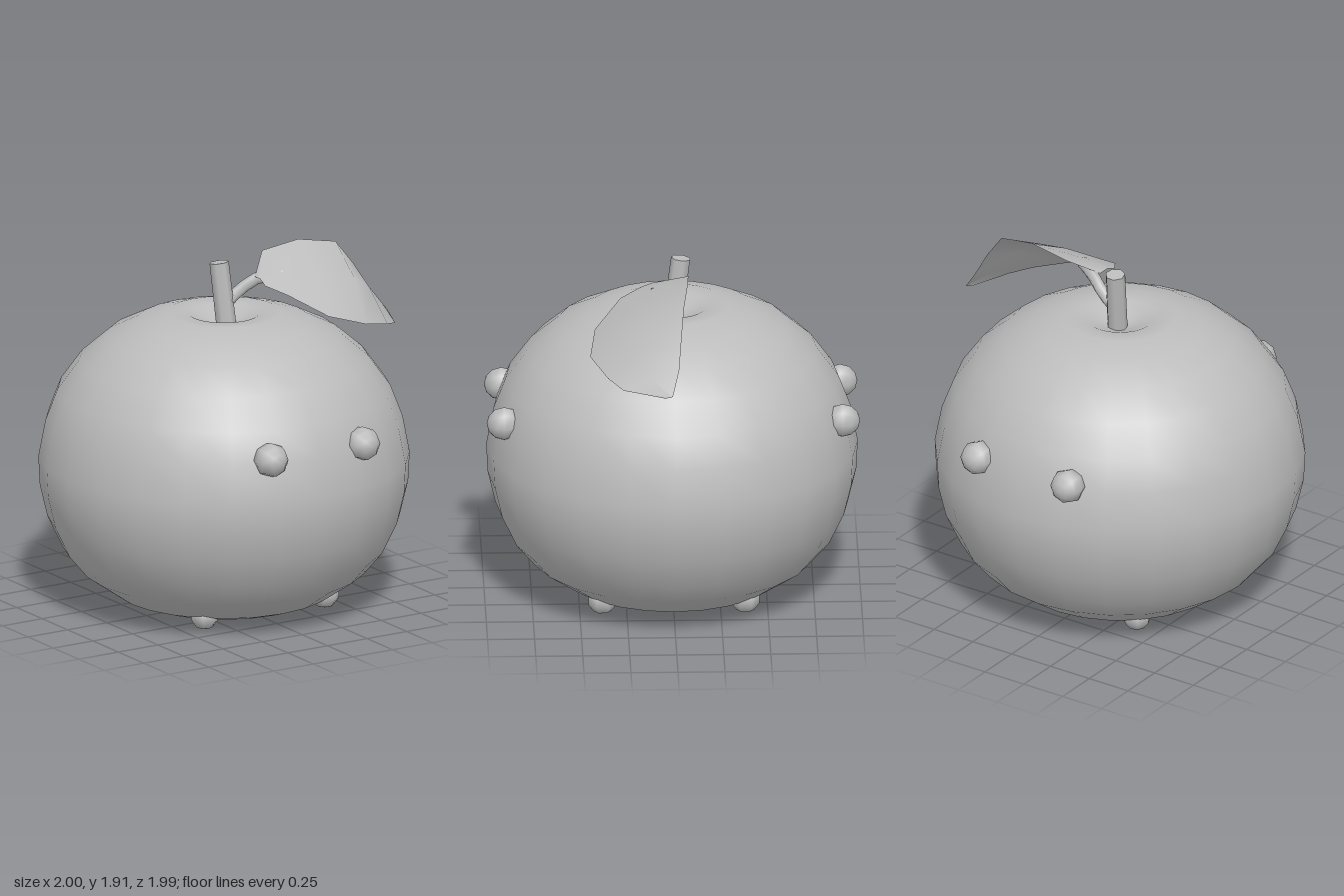
import * as THREE from 'three';

export function createModel() {
  const model = new THREE.Group();
  const clay = new THREE.MeshStandardMaterial({ color: 0xbcbcbc, side: THREE.DoubleSide });
  clay.name = 'plain grey';

  function add(name, geometry, x = 0, y = 0, z = 0) {
    const mesh = new THREE.Mesh(geometry, clay);
    mesh.name = name;
    mesh.position.set(x, y, z);
    model.add(mesh);
    return mesh;
  }

  // Squat round fruit with a flat base and a dimple at the stem
  const profile = [
    [0, 0.03], [0.3, 0.025], [0.48, 0.04], [0.58, 0.075], [0.76, 0.2], [0.86, 0.32],
    [0.94, 0.49], [0.98, 0.66], [0.988, 0.82], [0.95, 1.02], [0.885, 1.19], [0.77, 1.35],
    [0.62, 1.48], [0.46, 1.56], [0.3, 1.605], [0.19, 1.6], [0.1, 1.555], [0, 1.52],
  ].map(([r, y]) => new THREE.Vector2(r, y));
  add('fruitBody', new THREE.LatheGeometry(profile, 24), -0.012, 0, 0);

  // Round eyes on the front and on the back, sunk into the skin
  for (const side of [1, -1]) {
    for (const face of [1, -1]) {
      const eye = add(face > 0 ? 'frontEye' : 'backEye', new THREE.SphereGeometry(0.093, 8, 6),
        side * 0.29 - 0.003, 1.05, face * 0.9);
      eye.rotation.x = face * Math.PI / 2;
    }
  }

  // Four small stub feet under the body
  for (const x of [0.38, -0.38]) {
    for (const z of [0.38, -0.38]) {
      const foot = add('foot', new THREE.SphereGeometry(0.08, 7, 5), x, 0.075, z);
      foot.scale.set(1, 0.94, 1);
    }
  }

  // Stem, flaring at the top, with a thin leaf stalk branching off
  const stem = add('stem', new THREE.CylinderGeometry(0.053, 0.055, 0.35, 7), -0.005, 1.695, -0.025);
  stem.rotation.set(-0.13, 0, 0.05);
  const stalkPath = new THREE.CatmullRomCurve3([
    new THREE.Vector3(0, 1.64, -0.01), new THREE.Vector3(0.08, 1.7, -0.01),
    new THREE.Vector3(0.18, 1.77, 0.03), new THREE.Vector3(0.3, 1.79, 0.1),
  ]);
  add('leafStalk', new THREE.TubeGeometry(stalkPath, 5, 0.032, 6));

  // Leaf: sections from stalk to tip, each given as back edge, midrib, front edge
  const sections = [
    [[0.15, 1.785, 0.05], [0.145, 1.79, 0.11], [0.14, 1.765, 0.17]],
    [[0.28, 1.88, -0.08], [0.26, 1.81, 0.11], [0.21, 1.73, 0.28]],
    [[0.5, 1.91, -0.07], [0.46, 1.79, 0.18], [0.38, 1.62, 0.42]],
    [[0.72, 1.87, -0.045], [0.67, 1.74, 0.22], [0.6, 1.55, 0.45]],
    [[0.82, 1.74, -0.03], [0.79, 1.66, 0.18], [0.79, 1.5, 0.36]],
    [[0.91, 1.59, -0.015], [0.9, 1.54, 0.14], [0.89, 1.47, 0.28]],
    [[0.995, 1.475, 0.02], [0.998, 1.47, 0.03], [0.985, 1.46, 0.06]],
  ];
  const index = [];
  for (let i = 0; i < sections.length - 1; i++) {
    for (let j = 0; j < 2; j++) {
      const a = i * 3 + j, b = a + 3;
      index.push(a, a + 1, b, a + 1, b + 1, b);
    }
  }
  const leaf = new THREE.BufferGeometry();
  leaf.setAttribute('position', new THREE.Float32BufferAttribute(sections.flat(2), 3));
  leaf.setIndex(index);
  leaf.computeVertexNormals();
  add('leaf', leaf);

  return model;
}
